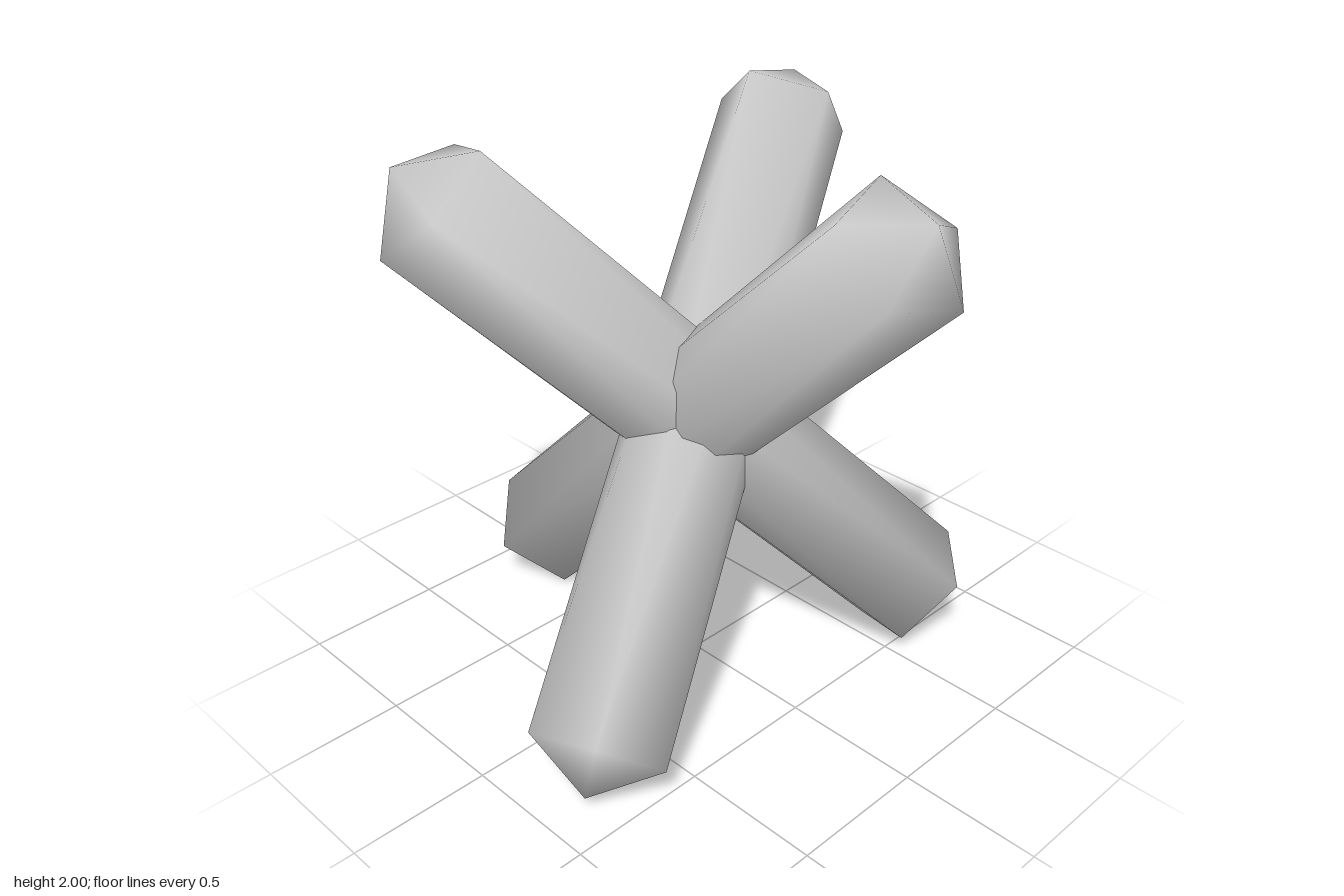
import * as THREE from 'three';

const RADIUS = 0.27, HALF_SHAFT = 1.063;

// A stretched icosahedron: tip, five-sided ring, ring turned by half a step, tip
function rodGeometry() {
  const normals = [0, 1, 0], index = [];
  const ringY = 1 / Math.sqrt(5), ringR = 2 / Math.sqrt(5);
  for (const side of [1, -1]) {
    for (let i = 0; i < 5; i++) {
      const a = (i + (side < 0 ? 0.5 : 0)) * Math.PI * 2 / 5;
      normals.push(ringR * Math.cos(a), side * ringY, ringR * Math.sin(a));
    }
  }
  normals.push(0, -1, 0);

  for (let i = 0; i < 5; i++) {
    const j = (i + 1) % 5;
    const t = 1 + i, tNext = 1 + j, b = 6 + i, bNext = 6 + j;
    index.push(0, tNext, t, t, tNext, b, tNext, bNext, b, 11, b, bNext);
  }

  // Pull the two halves apart along the axis, keeping the rounded normals
  const positions = normals.map((n, k) =>
    n * RADIUS + (k % 3 === 1 ? Math.sign(n) * HALF_SHAFT : 0));

  const geometry = new THREE.BufferGeometry();
  geometry.setAttribute('position', new THREE.Float32BufferAttribute(positions, 3));
  geometry.setAttribute('normal', new THREE.Float32BufferAttribute(normals, 3));
  geometry.setIndex(index);
  return geometry;
}

export function createModel() {
  const group = new THREE.Group();
  group.name = 'crossedRods';
  const material = new THREE.MeshStandardMaterial({ color: 0xcccccc });
  const geometry = rodGeometry();

  // Three rods through one centre, each leaning 45 degrees, fanned around y
  const headings = { frontRod: 0, leftRod: 113.1, rightRod: -122.4 };
  for (const [name, heading] of Object.entries(headings)) {
    const rod = new THREE.Mesh(geometry, material);
    rod.name = name;
    rod.position.y = 1;
    rod.rotation.set(Math.PI / 4, THREE.MathUtils.degToRad(heading), 0, 'YXZ');
    group.add(rod);
  }
  return group;
}
